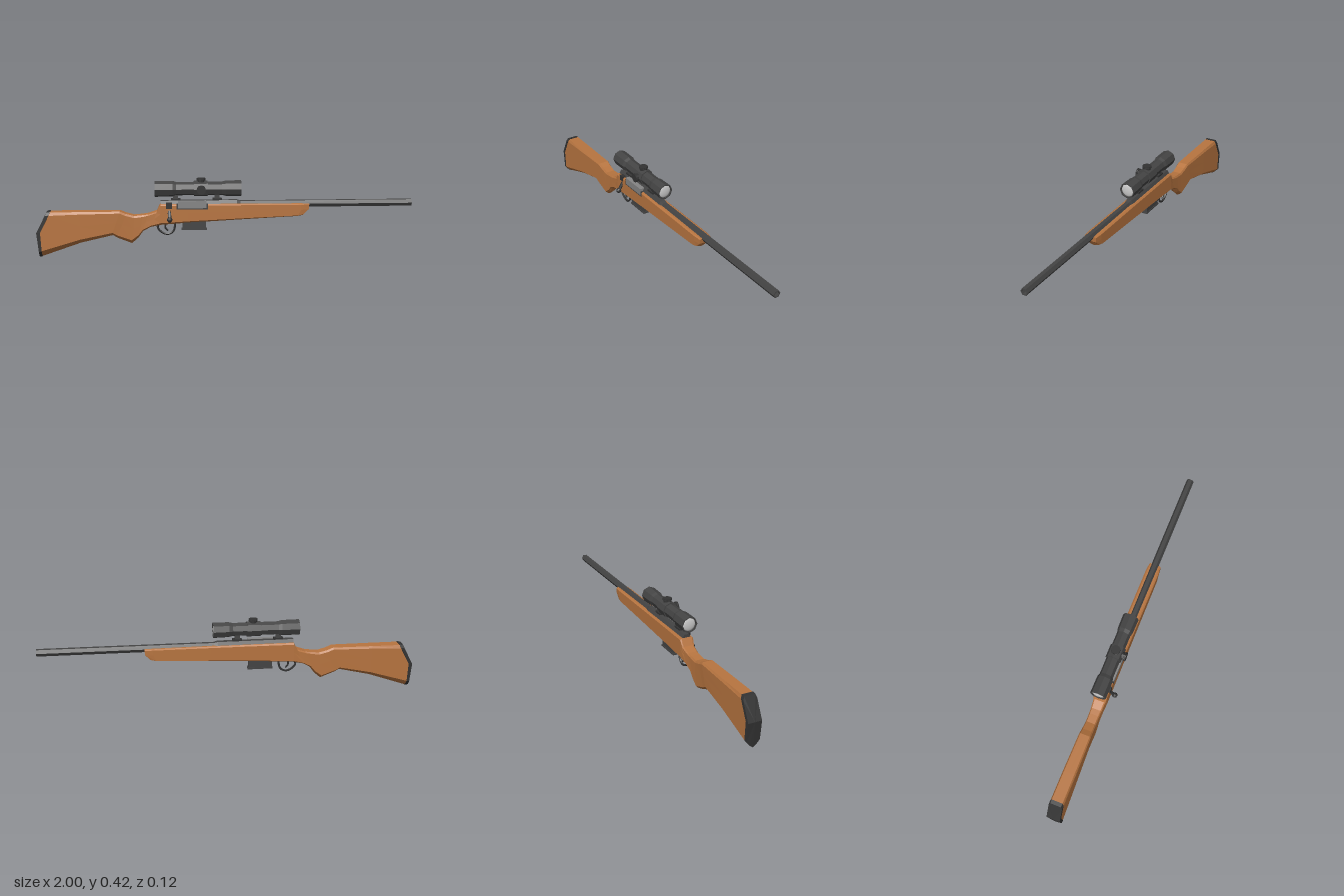
import * as THREE from 'three';

const mat = (color) => new THREE.MeshStandardMaterial({ color, flatShading: true, side: THREE.DoubleSide });
const wood = mat(0xb87540), dark = mat(0x444444), black = mat(0x333333), steel = mat(0x858585);
const glass = new THREE.MeshStandardMaterial({ color: 0xcccccc });
const AXIS_Y = 0.278, SCOPE_Y = 0.363;

// One cross-section; x is given at the top, middle and bottom so that it can lean or bend.
function section([xt, xm, xb, t, b, w]) {
  const m = b + 0.55 * (t - b), h = t - b;
  const half = [
    [xb, b + 0.05 * h, 0.5 * w],
    [xb, b + 0.14 * h, w],
    [xm, m, w],
    [xt + (xm - xt) * 0.12, t - 0.07 * h, w],
    [xt, t, 0.8 * w],
  ];
  const mirrored = half.map(([x, y, z]) => [x, y, -z]).reverse();
  return { ring: [[xb, b, 0], ...half, [xt, t, 0], ...mirrored], centre: [xm, m, 0] };
}

// Skin the cross-sections from back to front and close both ends.
function loft(rows) {
  const secs = rows.map(section), n = secs[0].ring.length, pos = [];
  const tri = (...corners) => corners.forEach((c) => pos.push(...c));
  for (let s = 0; s < secs.length - 1; s++) {
    const A = secs[s].ring, B = secs[s + 1].ring;
    for (let i = 0; i < n; i++) {
      const j = (i + 1) % n;
      tri(A[i], B[i], A[j]);
      tri(B[i], B[j], A[j]);
    }
  }
  const first = secs[0], last = secs[secs.length - 1];
  for (let i = 0; i < n; i++) {
    const j = (i + 1) % n;
    tri(first.centre, first.ring[i], first.ring[j]);
    tri(last.centre, last.ring[j], last.ring[i]);
  }
  const geo = new THREE.BufferGeometry();
  geo.setAttribute('position', new THREE.Float32BufferAttribute(pos, 3));
  geo.computeVertexNormals();
  return geo;
}

// Turned part along x from [x, radius] pairs.
function turned(profile, sides) {
  const pts = profile.map(([x, r]) => new THREE.Vector2(r, x));
  return new THREE.LatheGeometry(pts, sides).rotateZ(-Math.PI / 2);
}

export function createModel() {
  const model = new THREE.Group();
  const body = new THREE.Group();
  body.name = 'rifle';
  body.position.z = -0.013;
  model.add(body);

  const add = (name, geo, material, x = 0, y = 0, z = 0, parent = body) => {
    const mesh = new THREE.Mesh(geo, material);
    mesh.name = name;
    mesh.position.set(x, y, z);
    parent.add(mesh);
    return mesh;
  };
  const box = (w, h, d) => new THREE.BoxGeometry(w, h, d);

  // Wooden stock: butt, grip and fore-end
  add('stock', loft([
    [-0.925, -0.98, -0.975, 0.247, 0.006, 0.036],
    [-0.77, -0.77, -0.77, 0.247, 0.076, 0.035],
    [-0.56, -0.58, -0.6, 0.247, 0.115, 0.032],
    [-0.53, -0.55, -0.575, 0.234, 0.1, 0.03],
    [-0.485, -0.49, -0.5, 0.222, 0.07, 0.028],
    [-0.44, -0.45, -0.465, 0.226, 0.1, 0.028],
    [-0.41, -0.425, -0.44, 0.23, 0.135, 0.029],
    [-0.365, -0.38, -0.4, 0.245, 0.157, 0.032],
    [-0.345, -0.345, -0.345, 0.284, 0.168, 0.036],
    [-0.2, -0.2, -0.2, 0.284, 0.178, 0.036],
    [0.1, 0.1, 0.1, 0.283, 0.194, 0.036],
    [0.4, 0.4, 0.385, 0.281, 0.208, 0.036],
    [0.445, 0.442, 0.415, 0.28, 0.214, 0.032],
  ]), wood);
  add('buttPad', loft([
    [-0.945, -1, -0.99, 0.247, 0.002, 0.036],
    [-0.925, -0.98, -0.975, 0.249, 0.004, 0.037],
  ]), black);

  // Barrel with open bore, and receiver
  add('barrel', turned([[0, 0], [0, 0.02], [1, 0.02], [1, 0.014], [0.94, 0.014], [0.94, 0]], 6), dark, 0, AXIS_Y);
  add('receiver', turned([[-0.345, 0], [-0.345, 0.026], [0.06, 0.026], [0.08, 0.02], [0.08, 0]], 6), dark, 0, AXIS_Y);
  add('ejectionPortFrame', box(0.165, 0.03, 0.012), dark, -0.178, 0.272, 0.0305);
  add('ejectionPort', box(0.15, 0.038, 0.026), steel, -0.178, 0.282, 0.0245);

  // Bolt handle running down and outwards to a round knob
  const from = new THREE.Vector3(-0.3, 0.275, 0.012), to = new THREE.Vector3(-0.297, 0.206, 0.058);
  const handlePath = new THREE.LineCurve3(from, to);
  add('boltCollar', box(0.03, 0.03, 0.03), black, -0.3, 0.276, 0.024);
  add('boltHandle', new THREE.TubeGeometry(handlePath, 1, 0.009, 6), black);
  add('boltKnob', new THREE.IcosahedronGeometry(0.0145, 1), black, to.x, to.y, to.z);

  // Trigger and its guard
  const curve = (...pts) => new THREE.CatmullRomCurve3(pts.map(([x, y]) => new THREE.Vector3(x, y, 0)));
  add('triggerGuard', new THREE.TubeGeometry(curve(
    [-0.268, 0.18], [-0.278, 0.135], [-0.308, 0.118], [-0.342, 0.13], [-0.362, 0.155], [-0.358, 0.17]), 14, 0.006, 5), black);
  add('trigger', new THREE.TubeGeometry(curve(
    [-0.318, 0.18], [-0.322, 0.155], [-0.308, 0.136]), 5, 0.005, 5), black);

  // Box magazine with a floor plate
  add('magazine', box(0.125, 0.06, 0.03), dark, -0.168, 0.172);
  add('magazineFloor', box(0.135, 0.008, 0.036), dark, -0.168, 0.145);

  // Scope: hollow ended tube, lenses, saddle and turrets
  const scope = new THREE.Group();
  scope.name = 'scope';
  scope.position.y = SCOPE_Y;
  body.add(scope);
  add('scopeTube', turned([
    [-0.365, 0], [-0.365, 0.036], [-0.375, 0.037], [-0.375, 0.043], [-0.28, 0.042], [-0.262, 0.036],
    [-0.02, 0.036], [0.0, 0.041], [0.083, 0.043], [0.083, 0.037], [0.073, 0.036], [0.073, 0],
  ], 8), dark, 0, 0, 0, scope);
  for (const [name, x] of [['rearLens', -0.366], ['frontLens', 0.074]]) {
    add(name, new THREE.SphereGeometry(0.035, 20, 14), glass, x, 0, 0, scope).scale.x = 0.25;
  }
  add('scopeSaddle', turned([[-0.168, 0], [-0.168, 0.042], [-0.095, 0.042], [-0.095, 0]], 8), dark, 0, 0, 0, scope);
  const turret = () => new THREE.LatheGeometry([
    [0, 0.025], [0.02, 0.025], [0.02, 0.043], [0.024, 0.044], [0.024, 0.049], [0.021, 0.05], [0.024, 0.051], [0.024, 0.055], [0, 0.055],
  ].map(([r, y]) => new THREE.Vector2(r, y)), 12);
  add('topTurret', turret(), black, -0.13, 0, 0, scope);
  add('sideTurret', turret().rotateX(Math.PI / 2), black, -0.13, 0, 0.003, scope);

  // Scope mounts on the receiver
  for (const x of [-0.265, -0.045]) {
    add('mountBase', box(0.05, 0.012, 0.026), black, x, 0.304);
    add('mountPost', box(0.026, 0.04, 0.021), dark, x, 0.318);
  }
  return model;
}
